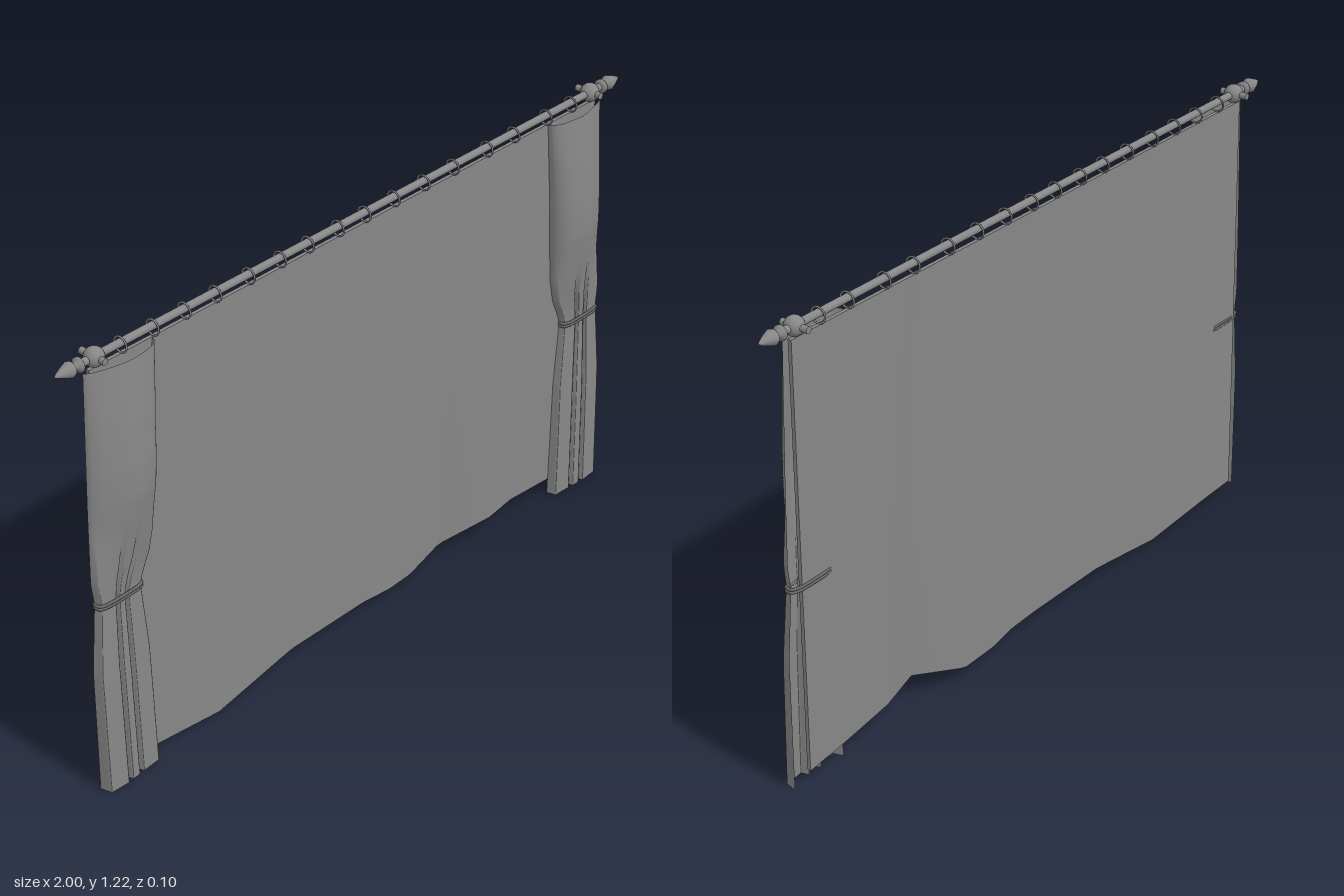
import * as THREE from 'three';

const ROD_Y = 1.191, ROD_Z = -0.01, TOP = 1.165;
const mat = new THREE.MeshStandardMaterial({ color: 0x878787 });
const tieMat = new THREE.MeshStandardMaterial({ color: 0x666666 });
const clothMat = new THREE.MeshStandardMaterial({ color: 0x878787, side: THREE.DoubleSide });

// Piecewise linear lookup in a list of [key, value] pairs with rising keys
function lookup(pairs, k) {
  if (k <= pairs[0][0]) return pairs[0][1];
  for (let i = 1; i < pairs.length; i++) {
    const [k0, v0] = pairs[i - 1], [k1, v1] = pairs[i];
    if (k <= k1) return v0 + (v1 - v0) * (k - k0) / (k1 - k0);
  }
  return pairs[pairs.length - 1][1];
}

function add(parent, name, geometry, material = mat) {
  const mesh = new THREE.Mesh(geometry, material);
  mesh.name = name;
  parent.add(mesh);
  return mesh;
}

// Moves every vertex of a geometry by a rule
function reshape(geometry, rule) {
  const p = geometry.attributes.position, v = new THREE.Vector3();
  for (let i = 0; i < p.count; i++) {
    v.fromBufferAttribute(p, i);
    rule(v);
    p.setXYZ(i, v.x, v.y, v.z);
  }
  geometry.computeVertexNormals();
  return geometry;
}

// Wide thin panel with an uneven hem that sways more towards the bottom
function panelGeometry() {
  const hem = [[-0.9, 0.03], [-0.76, 0.02], [-0.54, 0], [-0.27, 0.039], [0, 0.039],
    [0.19, 0.024], [0.33, 0.041], [0.48, 0.075], [0.76, 0.046], [0.9, 0.036]];
  const sway = [[-0.9, -0.008], [-0.54, 0.004], [-0.27, -0.002], [0, 0], [0.1, 0.004],
    [0.2, -0.006], [0.33, -0.024], [0.48, 0.027], [0.6, 0.004], [0.9, -0.004]];
  return reshape(new THREE.BoxGeometry(1.8, 1, 0.01, 90, 16, 1), (v) => {
    const t = v.y + 0.5;
    v.z += -0.012 + lookup(sway, v.x) * (1 - t);
    v.y = THREE.MathUtils.lerp(lookup(hem, v.x), TOP, t);
  });
}

// Gathered drape on the +x side: outline and fullness follow the height
const OUTER = [[0, 0.943], [0.35, 0.943], [0.5, 0.93], [0.54, 0.926], [0.6, 0.934], [0.8, 0.93], [1.165, 0.918]];
const INNER = [[0, 0.765], [0.35, 0.772], [0.5, 0.785], [0.54, 0.788], [0.57, 0.778], [0.62, 0.755],
  [0.68, 0.742], [0.8, 0.732], [0.95, 0.724], [1.165, 0.706]];
const FRONT = [[0, 0.027], [0.3, 0.021], [0.54, 0.014], [0.6, 0.02], [0.7, 0.035], [0.82, 0.052],
  [0.9, 0.053], [1.02, 0.045], [1.165, 0.03]];
// Three broad flat folds with narrow grooves, from the inner to the outer edge
const FOLDS = [[0, 0], [0.04, 0.75], [0.34, 0.85], [0.37, 0.4], [0.4, 0.4], [0.43, 0.9],
  [0.56, 0.95], [0.59, 0.45], [0.62, 0.45], [0.65, 1], [0.96, 0.9], [1, 0]];
function drapeGeometry() {
  return reshape(new THREE.PlaneGeometry(1, 1, 100, 60), (v) => {
    const u = v.x + 0.5, y = (v.y + 0.5) * TOP;
    const back = -0.008, depth = lookup(FRONT, y) - back;
    const upper = THREE.MathUtils.smoothstep(y, 0.5, 0.75);
    // Full and lopsided above the tie, flat folds below it
    const arch = Math.max(0, Math.sin(Math.PI * Math.pow(u, 0.75)));
    const full = Math.pow(arch, 0.6) * (0.97 + 0.03 * Math.cos(u * 4 * Math.PI));
    v.x = THREE.MathUtils.lerp(lookup(INNER, y), lookup(OUTER, y), u);
    v.z = back + depth * THREE.MathUtils.lerp(lookup(FOLDS, u), full, upper);
    v.y = y;
  });
}

// Flattened cord loop that holds the drape
function tieGeometry() {
  const pts = [];
  for (let i = 0; i < 28; i++) {
    const a = i / 28 * Math.PI * 2, c = Math.cos(a), s = Math.sin(a);
    pts.push(new THREE.Vector3(0.857 + 0.07 * Math.sign(c) * Math.pow(Math.abs(c), 0.6), 0,
      -0.001 + 0.018 * Math.sign(s) * Math.pow(Math.abs(s), 0.6)));
  }
  return new THREE.TubeGeometry(new THREE.CatmullRomCurve3(pts, true), 56, 0.004, 8, true);
}

// Pointed rod end with its collar, turned about the rod axis
function finialGeometry() {
  const profile = [[0, 0.918], [0.011, 0.918], [0.019, 0.924], [0.019, 0.93], [0.011, 0.934],
    [0.009, 0.94], [0.018, 0.948], [0.02, 0.955], [0.014, 0.972], [0.006, 0.99], [0, 1]];
  return new THREE.LatheGeometry(profile.map(([r, h]) => new THREE.Vector2(r, h)), 20).rotateZ(-Math.PI / 2);
}

export function createModel() {
  const model = new THREE.Group();
  model.name = 'curtains';

  add(model, 'rod', new THREE.CylinderGeometry(0.01, 0.01, 1.85, 20).rotateZ(Math.PI / 2))
    .position.set(0, ROD_Y, ROD_Z);
  add(model, 'backPanel', panelGeometry());

  // Hanging rings
  const rings = new THREE.Group();
  rings.name = 'rings';
  model.add(rings);
  const ringGeo = new THREE.TorusGeometry(0.02, 0.0025, 8, 24).rotateY(Math.PI / 2);
  for (const x of [-0.8, -0.7, -0.6, -0.5, -0.39, -0.285, -0.19, -0.085, 0.01, 0.115, 0.225, 0.335, 0.465, 0.57, 0.7, 0.8]) {
    add(rings, 'ring', ringGeo).position.set(x, 1.186, ROD_Z);
  }

  // Both ends: finial, wall bracket, drape and tie
  for (const side of [1, -1]) {
    const end = new THREE.Group();
    end.name = side > 0 ? 'leftEnd' : 'rightEnd';
    model.add(end);
    add(end, 'finial', finialGeometry()).position.set(0, ROD_Y, ROD_Z);
    add(end, 'bracketBall', new THREE.SphereGeometry(0.025, 20, 14)).position.set(0.88, ROD_Y, ROD_Z);
    add(end, 'bracketArm', new THREE.CylinderGeometry(0.009, 0.009, 0.078, 16).rotateX(Math.PI / 2))
      .position.set(0.88, ROD_Y, -0.013);
    add(end, 'drape', drapeGeometry(), clothMat);
    for (const y of [0.533, 0.541]) add(end, 'tie', tieGeometry(), tieMat).position.y = y;
    end.scale.x = side;
  }
  return model;
}
